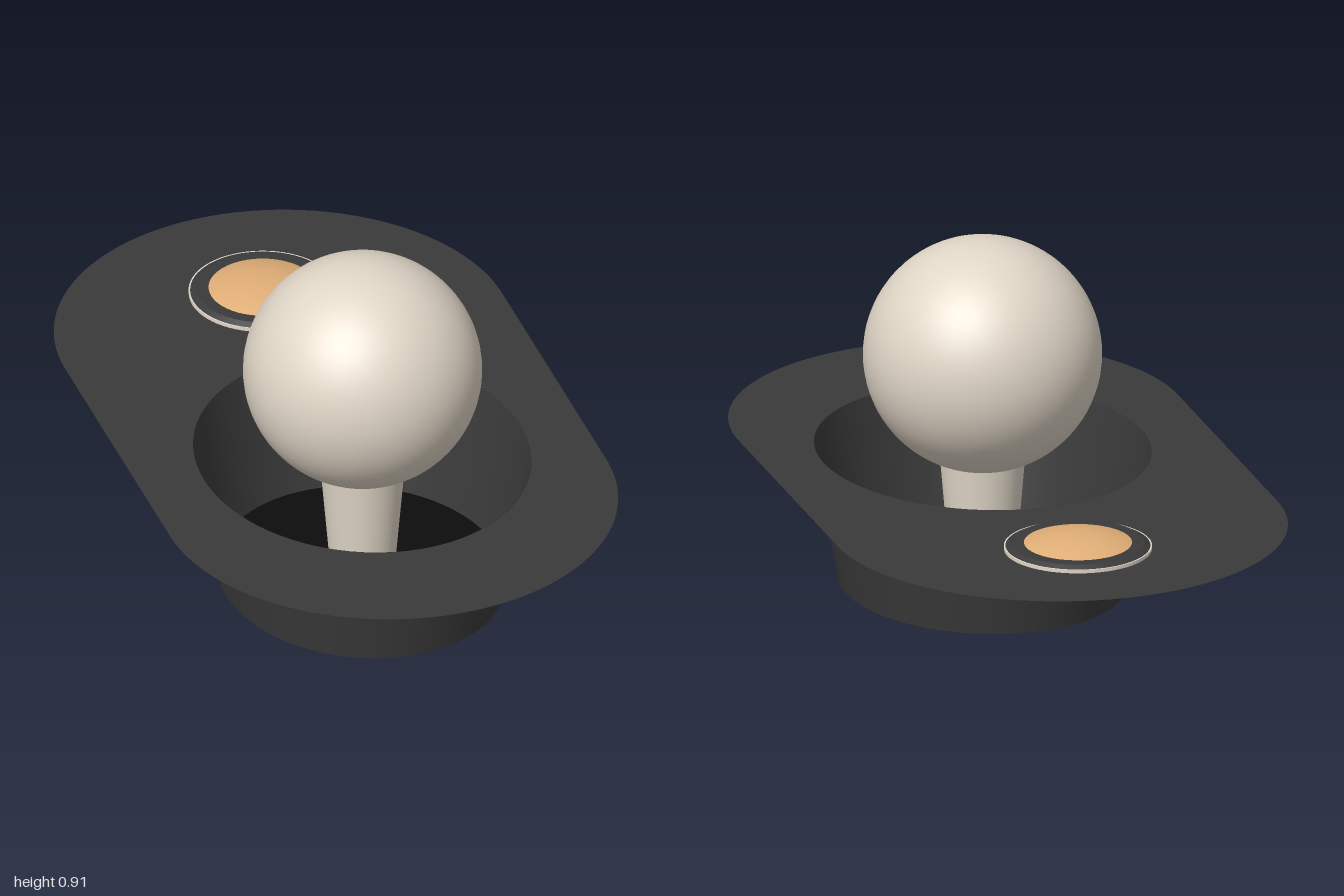
import * as THREE from 'three';

function material(name, color, side = THREE.FrontSide) {
  const m = new THREE.MeshStandardMaterial({ color, side });
  m.name = name;
  return m;
}

export function createModel() {
  const charcoal = material('charcoal', 0x3a3a3a, THREE.DoubleSide);
  const black = material('black', 0x0d0d0d, THREE.DoubleSide);
  const ivory = material('ivory', 0xe0d6c7);
  const amber = material('amber', 0xe0ae76);

  const model = new THREE.Group();
  model.name = 'ballJoystick';
  const add = (name, geometry, mat, x, y, z, parent = model) => {
    const mesh = new THREE.Mesh(geometry, mat);
    mesh.name = name;
    mesh.position.set(x, y, z);
    parent.add(mesh);
    return mesh;
  };

  const top = 0.356; // height of the panel
  const cx = 0.006, cz = 0.193; // centre of the cup

  // Thin stadium-shaped panel with an oval opening
  const outline = new THREE.Shape();
  outline.absarc(0, 0.42, 0.58, 0, Math.PI);
  outline.absarc(0, -0.42, 0.58, Math.PI, Math.PI * 2);
  outline.closePath();
  const opening = new THREE.Path();
  opening.absellipse(cx, -cz, 0.42, 0.485, 0, Math.PI * 2, true);
  outline.holes.push(opening);
  add('panel', new THREE.ShapeGeometry(outline, 48).rotateX(-Math.PI / 2), charcoal, 0, top, 0);

  // Tapered oval cup below the opening, with its floor
  const wall = new THREE.CylinderGeometry(0.42, 0.361, top, 72, 1, true);
  wall.scale(1, 1, 1.153);
  add('cupWall', wall, charcoal, cx, top / 2, cz);
  const floor = new THREE.CircleGeometry(0.361, 72).rotateX(-Math.PI / 2);
  floor.scale(1, 1, 1.153);
  add('cupFloor', floor, black, cx, 0.001, cz);

  // Stick: tapered stem and round knob
  add('stem', new THREE.CylinderGeometry(0.108, 0.08, 0.33, 40), ivory, cx, 0.166, cz + 0.002);
  add('knob', new THREE.SphereGeometry(0.302, 64, 40), ivory, cx, 0.604, cz + 0.002);

  // Button: light rim, dark bevelled bezel, low domed cap
  const button = new THREE.Group();
  button.name = 'button';
  button.position.set(0.007, top, -0.61);
  model.add(button);
  add('buttonRim', new THREE.CylinderGeometry(0.187, 0.187, 0.009, 64), ivory, 0, 0.0045, 0, button);
  add('buttonBezel', new THREE.CylinderGeometry(0.168, 0.183, 0.008, 64), charcoal, 0, 0.013, 0, button);
  const capRadius = 0.138, capHeight = 0.026;
  const r = (capRadius ** 2 + capHeight ** 2) / (2 * capHeight);
  const cap = new THREE.SphereGeometry(r, 48, 10, 0, Math.PI * 2, 0, Math.asin(capRadius / r));
  add('buttonCap', cap, amber, 0, 0.0165 + capHeight - r, 0, button);

  return model;
}
